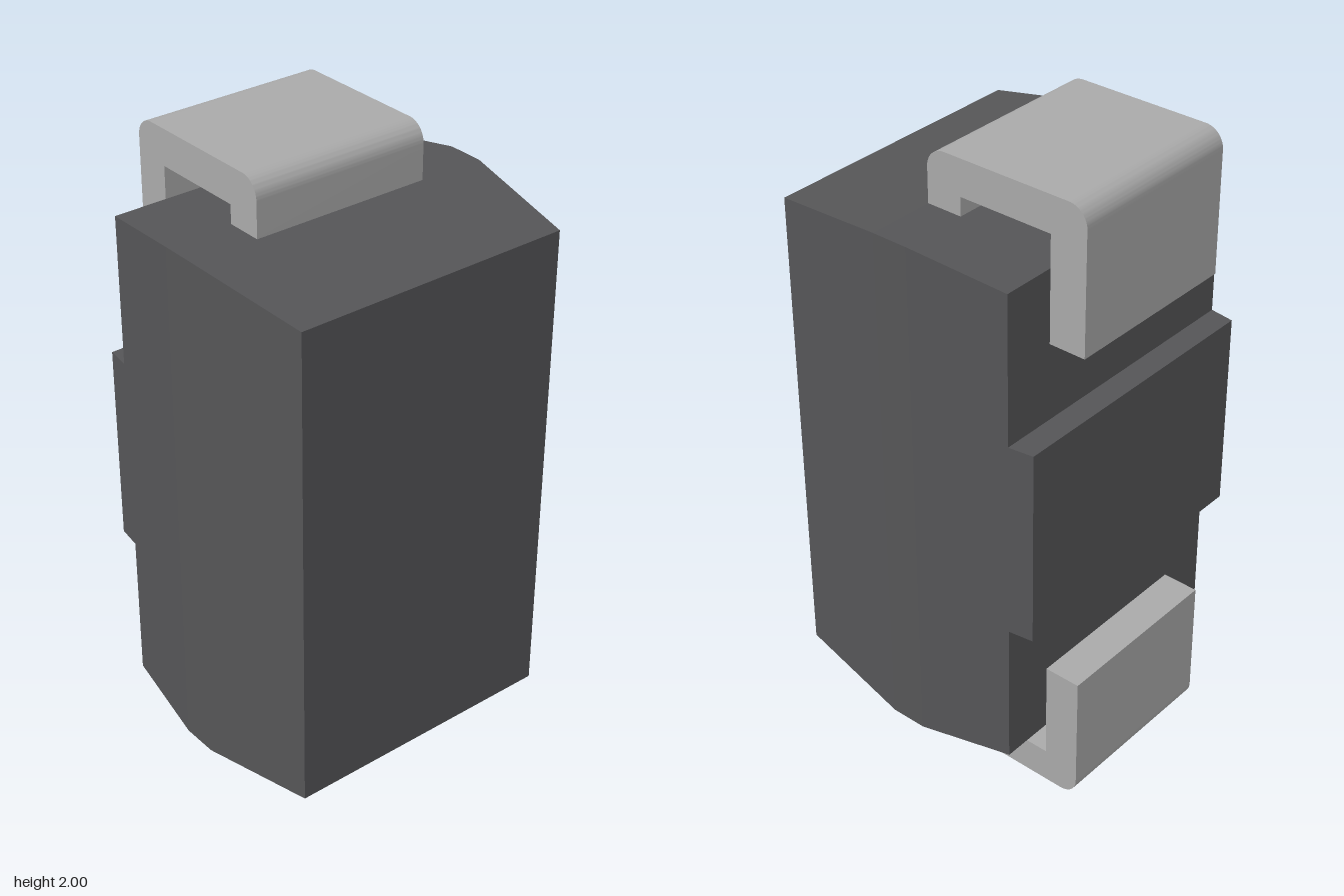
import * as THREE from 'three';
import { toCreasedNormals } from 'three/addons/utils/BufferGeometryUtils.js';

// Solid through rectangular sections [z, halfWidth, yBottom, yTop], listed front to back
function loft(sections) {
  const rings = sections.map(([z, w, y0, y1]) => [[-w, y0, z], [w, y0, z], [w, y1, z], [-w, y1, z]]);
  const pos = [];
  const quad = (a, b, c, d) => pos.push(...a, ...b, ...c, ...a, ...c, ...d);
  for (let s = 0; s < rings.length - 1; s++) {
    const a = rings[s], b = rings[s + 1];
    for (let i = 0; i < 4; i++) {
      const j = (i + 1) % 4;
      quad(a[i], b[i], b[j], a[j]);
    }
  }
  const back = rings[rings.length - 1];
  quad(...rings[0]);
  quad(back[3], back[2], back[1], back[0]);
  const geo = new THREE.BufferGeometry();
  geo.setAttribute('position', new THREE.Float32BufferAttribute(pos, 3));
  geo.computeVertexNormals();
  return geo;
}

// Bent metal strip: side profile (z, y) relative to mid height, extruded across x
function terminalGeometry() {
  const front = 0.075, back = -0.462, top = 1, r = 0.06;
  const innerFront = -0.04, innerBack = -0.345, innerTop = 0.888, tip = 0.56, root = 0.74;
  const s = new THREE.Shape();
  s.moveTo(front, root);
  s.lineTo(front, top - r);
  s.absarc(front - r, top - r, r, 0, Math.PI / 2, false);
  s.lineTo(back + r, top);
  s.absarc(back + r, top - r, r, Math.PI / 2, Math.PI, false);
  s.lineTo(back, tip);
  s.lineTo(innerBack, tip);
  s.lineTo(innerBack, innerTop);
  s.lineTo(innerFront, innerTop);
  s.lineTo(innerFront, root);
  s.closePath();
  const width = 0.576;
  const geo = new THREE.ExtrudeGeometry(s, { depth: width, bevelEnabled: false, curveSegments: 10 });
  geo.translate(0, 0, -width / 2);
  geo.rotateY(-Math.PI / 2);
  return toCreasedNormals(geo, 0.5);
}

export function createModel() {
  const model = new THREE.Group();
  model.name = 'surfaceMountDiode';

  const plastic = new THREE.MeshStandardMaterial({ color: 0x555557 });
  plastic.name = 'darkPlastic';
  const metal = new THREE.MeshStandardMaterial({ color: 0xa9a9a9 });
  metal.name = 'greyMetal';

  const add = (name, geo, mat) => {
    const mesh = new THREE.Mesh(geo, mat);
    mesh.name = name;
    model.add(mesh);
    return mesh;
  };

  // Moulded body, tapering to front and back from a flat middle band
  add('body', loft([
    [0.462, 0.445, 0.23, 1.777],
    [0.075, 0.5, 0.18, 1.83],
    [-0.04, 0.5, 0.18, 1.83],
    [-0.345, 0.457, 0.22, 1.788],
  ]), plastic);

  // Raised pad across the back
  add('backPad', loft([
    [-0.345, 0.457, 0.69, 1.32],
    [-0.423, 0.446, 0.69, 1.32],
  ]), plastic);

  // Hooked terminals at both ends
  const hook = terminalGeometry();
  add('topTerminal', hook, metal).position.y = 1;
  const bottom = add('bottomTerminal', hook, metal);
  bottom.position.y = 1;
  bottom.rotation.z = Math.PI;

  return model;
}
